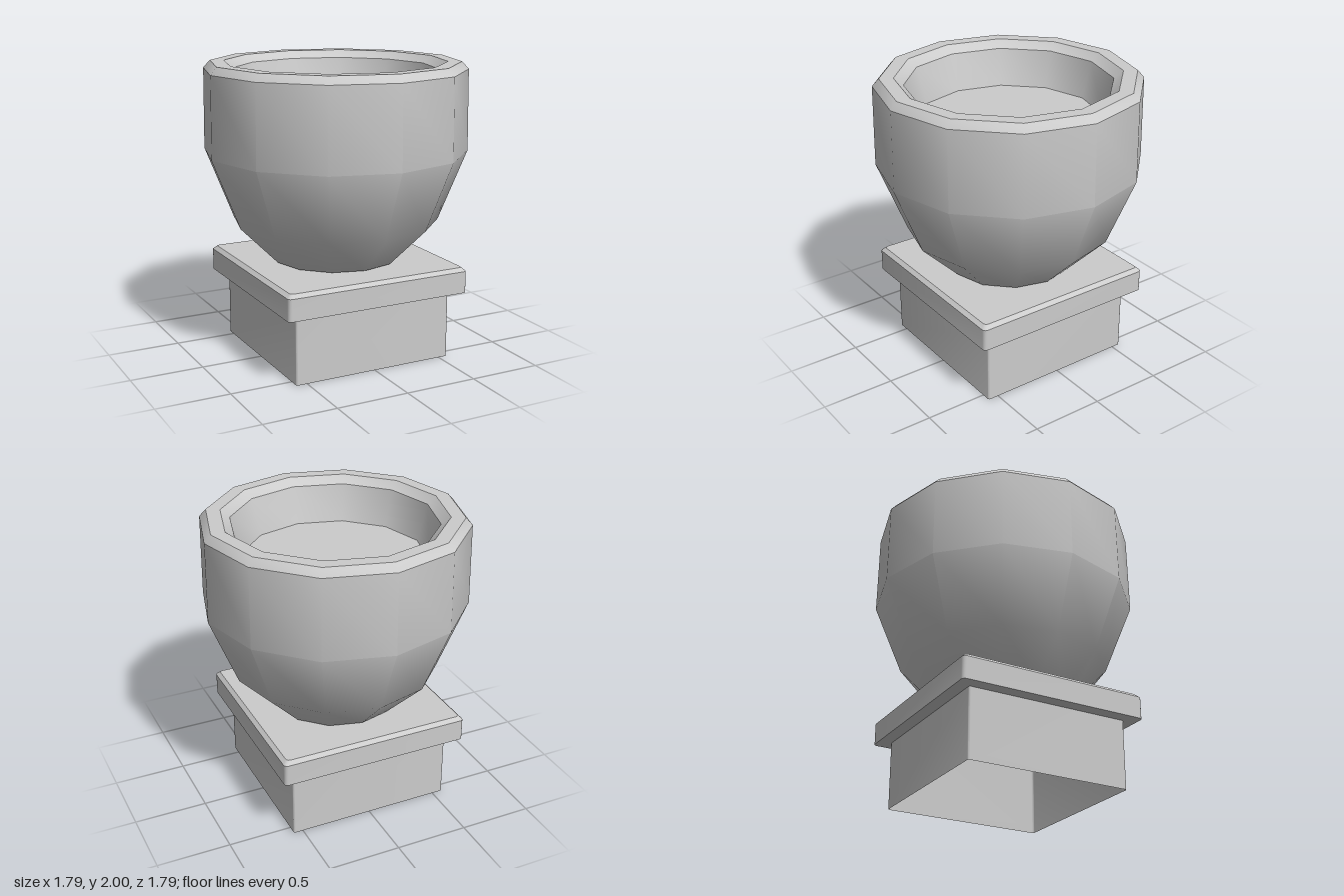
import * as THREE from 'three';
import { toCreasedNormals } from 'three/addons/utils/BufferGeometryUtils.js';

const CREASE = THREE.MathUtils.degToRad(35);

// Sweeps a [halfWidth, y] profile round a square plan with rounded corners.
function squareLathe(profile, cornerRadius) {
  const pos = [], index = [], steps = 3, n = 4 * (steps + 1);
  for (const [half, y] of profile) {
    const r = Math.min(cornerRadius, half);
    for (let c = 0; c < 4; c++) {
      const mid = (c + 0.5) * Math.PI / 2;
      const cx = Math.sign(Math.cos(mid)) * (half - r);
      const cz = Math.sign(Math.sin(mid)) * (half - r);
      for (let s = 0; s <= steps; s++) {
        const a = (c + s / steps) * Math.PI / 2;
        pos.push(cx + r * Math.cos(a), y, cz + r * Math.sin(a));
      }
    }
  }
  for (let k = 0; k < profile.length - 1; k++) {
    for (let i = 0; i < n; i++) {
      const a = k * n + i, b = k * n + (i + 1) % n;
      index.push(a, a + n, b, b, a + n, b + n);
    }
  }
  const geo = new THREE.BufferGeometry();
  geo.setAttribute('position', new THREE.Float32BufferAttribute(pos, 3));
  geo.setIndex(index);
  return toCreasedNormals(geo, CREASE);
}

export function createModel() {
  const group = new THREE.Group();
  group.name = 'planter';
  const solid = new THREE.MeshStandardMaterial({ color: 0xcccccc });
  const thin = new THREE.MeshStandardMaterial({ color: 0xcccccc, side: THREE.DoubleSide });

  const add = (name, geometry, material, x = 0, z = 0) => {
    const mesh = new THREE.Mesh(geometry, material);
    mesh.name = name;
    mesh.position.set(x, 0, z);
    group.add(mesh);
  };

  // Hollow square pedestal, open underneath
  add('pedestalWalls', squareLathe([[0.57, 0], [0.57, 0.47]], 0.012), thin, -0.005, 0.005);

  // Overhanging slab with a bevelled top and a shallow recess beneath
  add('pedestalSlab', squareLathe([
    [0, 0.55], [0.55, 0.55], [0.56, 0.47], [0.66, 0.47],
    [0.66, 0.62], [0.635, 0.645], [0, 0.645],
  ], 0.025), solid, -0.005, 0.005);

  // Twelve-sided bowl: outside, chamfered rim, inside and floor
  const profile = [
    [0, 0.655], [0.44, 0.655], [0.705, 0.92], [0.897, 1.4], [0.89, 1.95],
    [0.845, 2], [0.75, 2], [0.688, 1.95], [0.618, 1.7], [0, 1.7],
  ].map(([r, y]) => new THREE.Vector2(r, y));
  add('bowl', toCreasedNormals(new THREE.LatheGeometry(profile, 12), CREASE), solid);

  return group;
}
